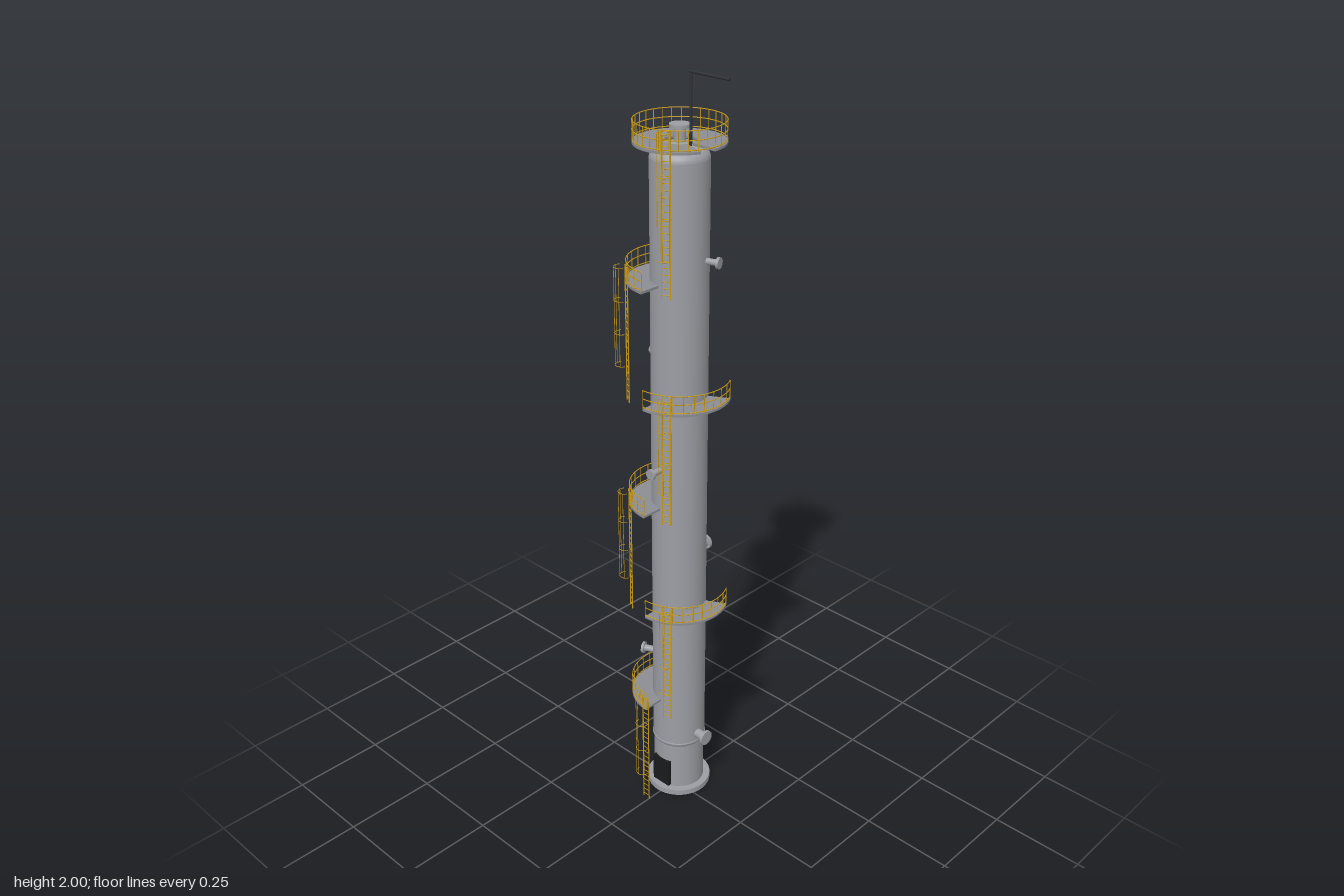
import * as THREE from 'three';
import { mergeGeometries } from 'three/addons/utils/BufferGeometryUtils.js';

const mat = (name, color, side = THREE.FrontSide) => {
  const m = new THREE.MeshStandardMaterial({ color, side });
  m.name = name;
  return m;
};
const RAD = Math.PI / 180;
const SHELL_R = 0.0715;

// Angles run from +x towards +z
const polar = (r, deg, y) => new THREE.Vector3(r * Math.cos(deg * RAD), y, r * Math.sin(deg * RAD));

function rodGeo(a, b, r, sides = 6) {
  const d = b.clone().sub(a);
  const g = new THREE.CylinderGeometry(r, r, d.length(), sides);
  g.applyQuaternion(new THREE.Quaternion().setFromUnitVectors(new THREE.Vector3(0, 1, 0), d.normalize()));
  return g.translate((a.x + b.x) / 2, (a.y + b.y) / 2, (a.z + b.z) / 2);
}

function arcGeo(r, tube, from, to, y) {
  return new THREE.TorusGeometry(r, tube, 5, Math.ceil((to - from) / 5), (to - from) * RAD)
    .rotateX(Math.PI / 2).rotateY(-from * RAD).translate(0, y, 0);
}

function lathe(points) {
  return new THREE.LatheGeometry(points.map(p => new THREE.Vector2(p[0], p[1])), 48);
}

function deckGeo(inner, outer, from, to, y) {
  const s = new THREE.Shape();
  s.absarc(0, 0, outer, from * RAD, to * RAD, false);
  s.absarc(0, 0, inner, to * RAD, from * RAD, true);
  return new THREE.ExtrudeGeometry(s, { depth: 0.006, bevelEnabled: false, curveSegments: 40 })
    .rotateX(Math.PI / 2).translate(0, y, 0);
}

// Toe, middle and top rails with evenly spaced posts
function railingGeo(r, from, to, y) {
  const parts = [0.004, 0.026, 0.048].map(h => arcGeo(r, 0.0013, from, to, y + h));
  const n = Math.round((to - from) / 12);
  for (let i = 0; i <= n; i++) {
    const a = from + (to - from) * i / n;
    parts.push(rodGeo(polar(r, a, y), polar(r, a, y + 0.048), 0.0011, 5));
  }
  return mergeGeometries(parts);
}

// Ladder with hooped safety cage, built facing +z, then turned to its bearing
function ladderGeo(deg, y0, y1) {
  const parts = [];
  const v = (x, y, z) => new THREE.Vector3(x, y, z);
  for (const x of [-0.0105, 0.0105]) parts.push(rodGeo(v(x, y0, 0.131), v(x, y1, 0.131), 0.0015));
  for (let y = y0 + 0.01; y < y1; y += 0.0165) {
    parts.push(rodGeo(v(-0.0105, y, 0.131), v(0.0105, y, 0.131), 0.001, 5));
  }
  const cage0 = y0 + 0.1;
  for (let i = 0; i < 4; i++) {
    const y = cage0 + (y1 - cage0) * i / 3;
    parts.push(arcGeo(0.0165, 0.0009, -10, 190, y).translate(0, 0, 0.145));
  }
  for (const a of [30, 90, 150]) {
    const p = polar(0.0165, a, 0);
    parts.push(rodGeo(v(p.x, cage0, p.z + 0.145), v(p.x, y1, p.z + 0.145), 0.0008, 5));
  }
  return mergeGeometries(parts).rotateY((90 - deg) * RAD);
}

export function createModel() {
  const root = new THREE.Group();
  root.name = 'processColumn';
  const steel = mat('vessel grey', 0x9c9ea4);
  const steelOpen = mat('skirt grey', 0x9c9ea4, THREE.DoubleSide);
  const deck = mat('deck grey', 0x8b8d93);
  const yellow = mat('safety yellow', 0xd0a018);
  const dark = mat('dark steel', 0x2e3136);
  const black = mat('door black', 0x1a1b1c);

  const tower = new THREE.Group();
  tower.name = 'tower';
  tower.position.set(-0.011, 0, -0.027);
  root.add(tower);
  const add = (name, geo, material, parent = tower) => {
    const m = new THREE.Mesh(geo, material);
    m.name = name;
    parent.add(m);
    return m;
  };

  // Shell and its two elliptical heads
  add('shell', new THREE.CylinderGeometry(SHELL_R, SHELL_R, 1.635, 48, 1, true).translate(0, 0.9825, 0), steel);
  const head = [];
  for (let i = 0; i <= 12; i++) {
    const a = i / 12 * Math.PI / 2;
    head.push([SHELL_R * Math.cos(a), 0.036 * Math.sin(a)]);
  }
  add('topHead', lathe(head).translate(0, 1.8, 0), steel);
  add('bottomHead', lathe(head).rotateX(Math.PI).translate(0, 0.165, 0), steel);

  // Hollow skirt, base ring, seam and doorway
  add('skirt', new THREE.CylinderGeometry(0.069, 0.069, 0.165, 48, 1, true).translate(0, 0.0825, 0), steelOpen);
  add('seamRing', new THREE.TorusGeometry(0.0705, 0.003, 6, 48).rotateX(Math.PI / 2).translate(0, 0.165, 0), steel);
  const base = new THREE.Shape().absarc(0, 0, 0.0875, 0, Math.PI * 2, false);
  base.holes.push(new THREE.Path().absarc(0, 0, 0.057, 0, Math.PI * 2, true));
  add('baseRing', new THREE.ExtrudeGeometry(base, { depth: 0.016, bevelEnabled: false, curveSegments: 48 })
    .rotateX(Math.PI / 2).translate(0, 0.016, 0), steel);
  add('skirtDoor', new THREE.BoxGeometry(0.058, 0.082, 0.012).translate(0, 0.061, 0.067), black);

  // Flanged nozzles: bearing, height, pipe radius, flange radius
  const nozzles = [
    [-17, 1.56, 0.008, 0.014], [0, 0.19, 0.013, 0.021], [188, 1.29, 0.009, 0.015],
    [155, 0.42, 0.009, 0.016], [90, 1.015, 0.008, 0.014], [270, 0.735, 0.012, 0.02],
  ];
  for (const [deg, y, r, flange] of nozzles) {
    const g = new THREE.Group();
    g.name = 'nozzle';
    add('nozzlePipe', rodGeo(polar(0.06, deg, y), polar(0.102, deg, y), r, 20), steel, g);
    add('nozzleFlange', rodGeo(polar(0.099, deg, y), polar(0.106, deg, y), flange, 24), steel, g);
    tower.add(g);
  }
  add('topNozzle', new THREE.CylinderGeometry(0.014, 0.014, 0.04, 24).translate(0, 1.85, 0), steel);
  add('topNozzleFlange', new THREE.CylinderGeometry(0.025, 0.025, 0.008, 32).translate(0, 1.872, 0), steel);

  // Part-ring platforms on alternating sides
  for (let i = 0; i < 5; i++) {
    const from = i % 2 ? -30 : 90;
    const y = 0.306 + i * 0.3;
    add('platformDeck', deckGeo(SHELL_R - 0.001, 0.129, from, from + 120, y), deck);
    add('platformRailing', railingGeo(0.128, from, from + 120, y), yellow);
  }

  // Top platform with an open sector
  add('topPlatformDeck', deckGeo(0.039, 0.11, 21, 360, 1.838), deck);
  add('topPlatformRailing', railingGeo(0.109, 0, 360, 1.838), yellow);

  // Caged ladders: one at the front, then alternating sides
  add('ladder', ladderGeo(90, 0, 0.35), yellow);
  for (let i = 1; i < 6; i++) {
    const y = i * 0.3;
    add('ladder', ladderGeo(i % 2 ? 60 : 120, y, i === 5 ? 1.89 : y + 0.35), yellow);
  }

  // Davit post and arm
  const corner = new THREE.Vector3(0.034, 1.9965, 0);
  add('davitPost', rodGeo(new THREE.Vector3(0.034, 1.81, 0), corner, 0.0035, 10), dark);
  add('davitArm', rodGeo(corner.clone().setX(0.0305), corner.clone().setX(0.15), 0.0035, 10), dark);
  return root;
}
